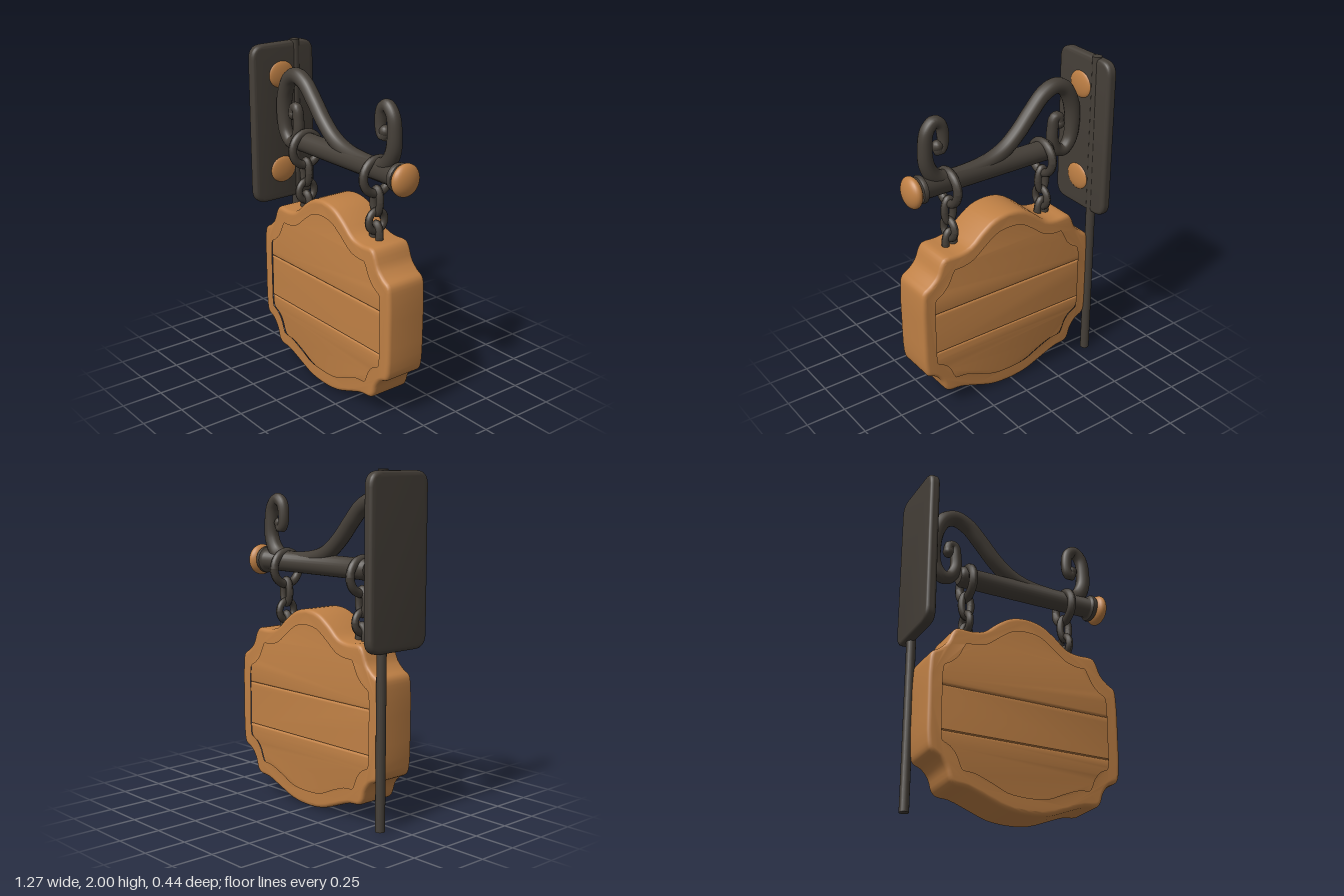
import * as THREE from 'three';
import { toCreasedNormals } from 'three/addons/utils/BufferGeometryUtils.js';

const iron = new THREE.MeshStandardMaterial({ color: 0x453f38 });
iron.name = 'dark iron';
const wood = new THREE.MeshStandardMaterial({ color: 0xbf8045 });
wood.name = 'warm wood';

const Z = 0.035; // depth of the plane that bar, chains and board hang in
const BOARD_X = 0.022;

// Right half of the board outline and of its inner frame edge, top to bottom
const OUTER = [[0, 1.19], [0.1, 1.172], [0.19, 1.115], [0.27, 1.05], [0.35, 1.032], [0.44, 1.032], [0.468, 1.005],
  [0.5, 0.93], [0.545, 0.885], [0.59, 0.855], [0.603, 0.79], [0.606, 0.56], [0.6, 0.33], [0.583, 0.278], [0.53, 0.25],
  [0.49, 0.2], [0.468, 0.135], [0.44, 0.11], [0.36, 0.1], [0.25, 0.06], [0.13, 0.017], [0, 0.004]];
const INNER = [[0, 1.122], [0.1, 1.105], [0.19, 1.045], [0.27, 0.985], [0.34, 0.968], [0.395, 0.965], [0.42, 0.93],
  [0.45, 0.87], [0.49, 0.83], [0.53, 0.805], [0.545, 0.77], [0.548, 0.56], [0.545, 0.36], [0.532, 0.325], [0.485, 0.3],
  [0.45, 0.26], [0.43, 0.21], [0.405, 0.175], [0.33, 0.165], [0.23, 0.128], [0.13, 0.085], [0, 0.073]];

function add(parent, name, geometry, material, x = 0, y = 0, z = 0) {
  const mesh = new THREE.Mesh(geometry, material);
  mesh.name = name;
  mesh.position.set(x, y, z);
  parent.add(mesh);
  return mesh;
}

// Mirrors a half outline and smooths it into a closed loop of points
function outline(half) {
  const left = half.slice(1, -1).reverse().map(([x, y]) => [-x, y]);
  const points = [...half, ...left].map(([x, y]) => new THREE.Vector3(x, y, 0));
  const curve = new THREE.CatmullRomCurve3(points, true, 'centripetal');
  return curve.getPoints(126).slice(0, -1).map((p) => new THREE.Vector2(p.x, p.y));
}

// Keeps the part of a polygon above (sign 1) or below (sign -1) a height
function clip(points, height, sign) {
  const result = [];
  points.forEach((a, i) => {
    const b = points[(i + 1) % points.length];
    const da = (a.y - height) * sign, db = (b.y - height) * sign;
    if (da >= 0) result.push(a);
    if (da * db < 0) result.push(a.clone().lerp(b, da / (da - db)));
  });
  return result;
}

// Extrusion with rounded edges that stays inside its outline, centred in depth
function slab(shape, thickness, bevel, steps = 4) {
  const g = new THREE.ExtrudeGeometry(shape, {
    depth: thickness - 2 * bevel, bevelThickness: bevel, bevelSize: bevel,
    bevelOffset: -bevel, bevelSegments: steps, curveSegments: 8,
  });
  g.translate(0, 0, bevel - thickness / 2);
  return toCreasedNormals(g, 0.75);
}

// Tube whose radius follows a rule along its length
function taperedTube(curve, radiusAt, segments, sides) {
  const g = new THREE.TubeGeometry(curve, segments, 1, sides);
  const pos = g.attributes.position, v = new THREE.Vector3();
  for (let i = 0; i <= segments; i++) {
    const centre = curve.getPointAt(i / segments);
    for (let j = 0; j <= sides; j++) {
      const k = i * (sides + 1) + j;
      v.fromBufferAttribute(pos, k).sub(centre).multiplyScalar(radiusAt(i / segments)).add(centre);
      pos.setXYZ(k, v.x, v.y, v.z);
    }
  }
  return g;
}

function buildBoard() {
  const board = new THREE.Group();
  board.name = 'board';
  board.position.set(BOARD_X, 0, Z);
  const inner = outline(INNER);
  const frame = new THREE.Shape(outline(OUTER));
  frame.holes.push(new THREE.Path(inner));
  add(board, 'boardFrame', slab(frame, 0.266, 0.024), wood);
  // Three planks with grooves between them
  const cuts = [0, 0.41, 0.675, 1.2];
  for (let i = 0; i < 3; i++) {
    const points = clip(clip(inner, cuts[i], 1), cuts[i + 1], -1);
    add(board, 'plank' + (i + 1), slab(new THREE.Shape(points), 0.236, 0.014, 3), wood);
  }
  return board;
}

function buildWallMount() {
  const mount = new THREE.Group();
  mount.name = 'wallMount';
  // Back plate with rounded corners
  const w = 0.222, y0 = 1.01, y1 = 1.992, r = 0.085;
  const s = new THREE.Shape();
  s.moveTo(-w + r, y0);
  s.lineTo(w - r, y0).quadraticCurveTo(w, y0, w, y0 + r);
  s.lineTo(w, y1 - r).quadraticCurveTo(w, y1, w - r, y1);
  s.lineTo(-w + r, y1).quadraticCurveTo(-w, y1, -w, y1 - r);
  s.lineTo(-w, y0 + r).quadraticCurveTo(-w, y0, -w + r, y0);
  add(mount, 'backPlate', slab(s, 0.064, 0.022).rotateY(Math.PI / 2), iron, -0.605);
  add(mount, 'pole', new THREE.CylinderGeometry(0.028, 0.028, 2, 16), iron, -0.593, 1, -0.093);
  for (const y of [1.8, 1.205]) {
    add(mount, 'bolt', new THREE.SphereGeometry(1, 24, 16), wood, -0.576, y, 0.02).scale.set(0.022, 0.082, 0.09);
  }
  return mount;
}

function buildBracket() {
  const bracket = new THREE.Group();
  bracket.name = 'bracket';
  bracket.position.z = Z;
  // Turned bar with a collar at the free end
  const profile = [[0, -0.365], [0.05, -0.362], [0.064, -0.345], [0.062, -0.3], [0.062, 0.51], [0.066, 0.515],
    [0.08, 0.522], [0.083, 0.535], [0.076, 0.55], [0.04, 0.56], [0, 0.56]].map(([r, y]) => new THREE.Vector2(r, y));
  const bar = toCreasedNormals(new THREE.LatheGeometry(profile, 28), 0.8).rotateZ(-Math.PI / 2);
  add(bracket, 'bar', bar, iron, 0, 1.44);
  add(bracket, 'knob', new THREE.SphereGeometry(1, 28, 20), wood, 0.588, 1.437).scale.set(0.046, 0.094, 0.094);
  // Scroll curling at both ends
  const path = [[-0.432, 1.585], [-0.425, 1.63], [-0.395, 1.627], [-0.383, 1.56], [-0.385, 1.48], [-0.42, 1.42],
    [-0.465, 1.41], [-0.512, 1.46], [-0.53, 1.57], [-0.515, 1.7], [-0.465, 1.795], [-0.395, 1.827], [-0.31, 1.795],
    [-0.22, 1.705], [-0.13, 1.605], [-0.04, 1.53], [0.06, 1.485], [0.2, 1.462], [0.36, 1.462], [0.44, 1.495],
    [0.485, 1.57], [0.494, 1.67], [0.478, 1.77], [0.432, 1.814], [0.392, 1.79], [0.376, 1.72], [0.385, 1.655],
    [0.405, 1.637], [0.414, 1.67]].map(([x, y]) => new THREE.Vector3(x, y, 0));
  const curve = new THREE.CatmullRomCurve3(path, false, 'centripetal');
  const radiusAt = (t) => 0.03 + 0.018 * Math.min(1, Math.min(t, 1 - t) / 0.25);
  add(bracket, 'scroll', taperedTube(curve, radiusAt, 220, 14), iron);
  for (const p of [path[0], path[path.length - 1]]) {
    add(bracket, 'scrollTip', new THREE.SphereGeometry(0.034, 14, 10), iron, p.x, p.y);
  }
  return bracket;
}

// Chain of rings: alternate links are turned a quarter
function buildChain(name, x) {
  const chain = new THREE.Group();
  chain.name = name;
  chain.position.set(x, 0, Z);
  const links = [ // height, ring radius, wire radius, width factor, turned
    [1.4, 0.098, 0.026, 1, true],
    [1.255, 0.072, 0.023, 0.4, false],
    [1.138, 0.06, 0.022, 0.95, true],
    [1.05, 0.07, 0.023, 0.4, false],
  ];
  for (const [y, radius, wire, width, turned] of links) {
    const g = new THREE.TorusGeometry(radius, wire, 12, 28);
    // Narrow the ring's centre line into an oval while its wire keeps its thickness
    const pos = g.attributes.position;
    for (let i = 0; i < pos.count; i++) {
      const a = Math.atan2(pos.getY(i), pos.getX(i));
      pos.setX(i, pos.getX(i) - (1 - width) * radius * Math.cos(a));
    }
    g.computeVertexNormals();
    if (turned) g.rotateY(Math.PI / 2);
    add(chain, 'link', g, iron, 0, y);
  }
  return chain;
}

export function createModel() {
  const model = new THREE.Group();
  model.name = 'hangingSign';
  model.add(buildWallMount(), buildBracket(), buildBoard());
  model.add(buildChain('rightChain', -0.31), buildChain('leftChain', 0.352));
  return model;
}
